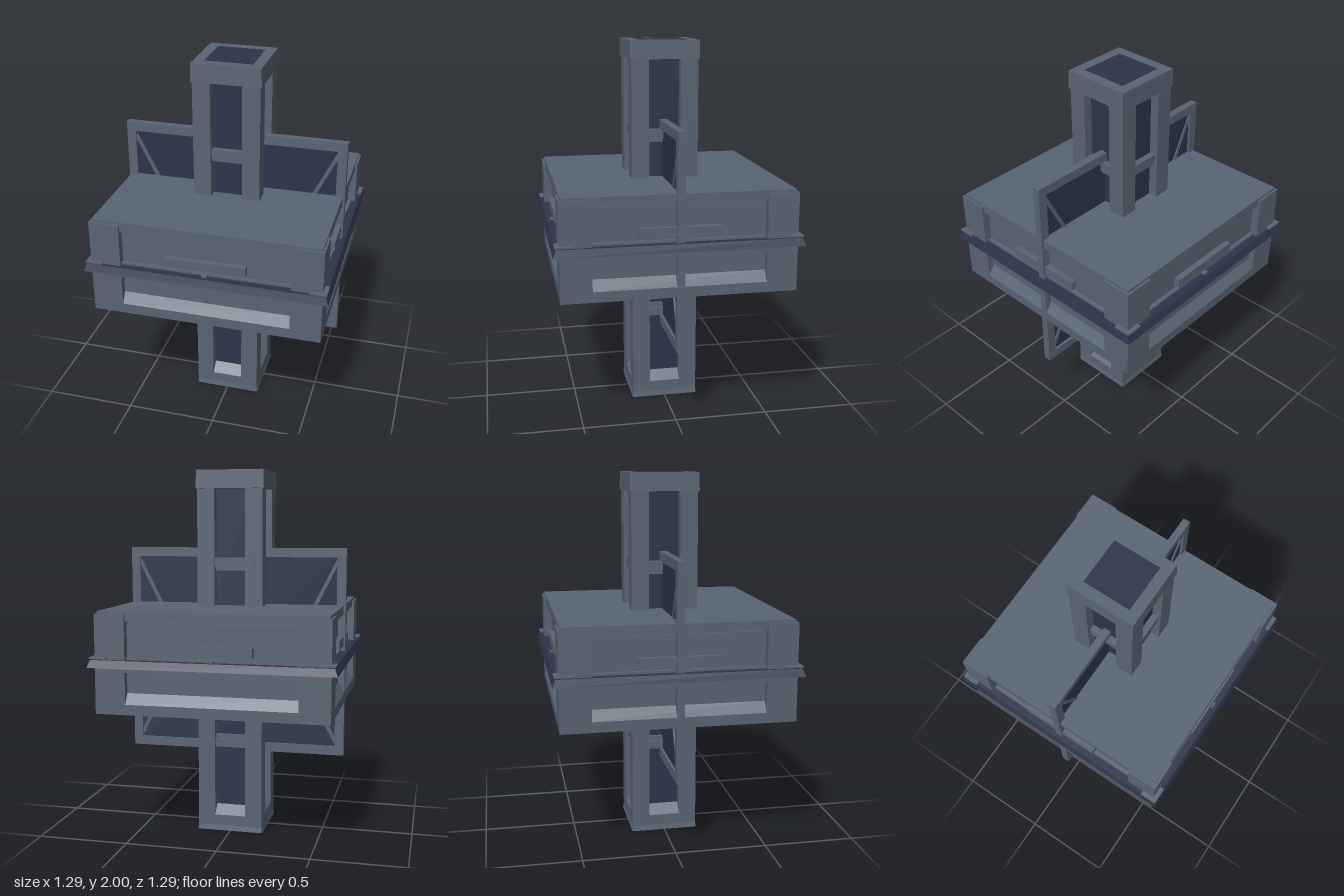
import * as THREE from 'three';

const grey = new THREE.MeshStandardMaterial({ color: 0x586573 });
grey.name = 'slate grey';
const navy = new THREE.MeshStandardMaterial({ color: 0x2c3449 });
navy.name = 'dark navy';

// Box given by its lower and upper limits on each axis
function box(parent, name, mat, [x0, x1], [y0, y1], [z0, z1]) {
  const mesh = new THREE.Mesh(new THREE.BoxGeometry(x1 - x0, y1 - y0, z1 - z0), mat);
  mesh.position.set((x0 + x1) / 2, (y0 + y1) / 2, (z0 + z1) / 2);
  mesh.name = name;
  parent.add(mesh);
  return mesh;
}

// Bar along x whose cross-section is a list of [z, y] points
function profileBar(parent, name, mat, points, length) {
  const shape = new THREE.Shape(points.map(([z, y]) => new THREE.Vector2(z, y)));
  const geo = new THREE.ExtrudeGeometry(shape, { depth: length, bevelEnabled: false });
  geo.translate(0, 0, -length / 2).rotateY(-Math.PI / 2);
  const mesh = new THREE.Mesh(geo, mat);
  mesh.name = name;
  parent.add(mesh);
}

// Square block with different half-widths at bottom and top
function frustum(parent, name, mat, bottom, top, y0, y1) {
  const geo = new THREE.CylinderGeometry(top * Math.SQRT2, bottom * Math.SQRT2, y1 - y0, 4, 1).toNonIndexed();
  geo.rotateY(Math.PI / 4).translate(0, (y0 + y1) / 2, 0);
  geo.computeVertexNormals();
  const mesh = new THREE.Mesh(geo, mat);
  mesh.name = name;
  parent.add(mesh);
}

// Calls build once for each of the four sides
function fourSides(parent, name, build) {
  for (let i = 0; i < 4; i++) {
    const side = new THREE.Group();
    side.name = name;
    side.rotation.y = i * Math.PI / 2;
    build(side);
    parent.add(side);
  }
}

function buildTower() {
  const tower = new THREE.Group();
  tower.name = 'tower';
  box(tower, 'upperCore', navy, [-0.13, 0.13], [1.23, 1.91], [-0.13, 0.13]);
  box(tower, 'lowerCore', navy, [-0.13, 0.13], [0.002, 0.74], [-0.13, 0.13]);
  frustum(tower, 'cap', grey, 0.187, 0.184, 1.9, 1.998);
  box(tower, 'topPanel', navy, [-0.127, 0.127], [1.996, 2], [-0.127, 0.127]);
  box(tower, 'bottomPanel', navy, [-0.122, 0.122], [0, 0.004], [-0.122, 0.122]);
  fourSides(tower, 'towerSide', (side) => {
    box(side, 'upperPost', grey, [0.085, 0.18], [1.23, 1.91], [0.085, 0.18]);
    box(side, 'lowerPost', grey, [0.085, 0.18], [0.002, 0.74], [0.085, 0.18]);
    // sloped sill at the foot of the recess
    profileBar(side, 'footSill', grey,
      [[0.12, 0.002], [0.18, 0.002], [0.18, 0.09], [0.13, 0.14], [0.12, 0.14]], 0.172);
    // stepped crossbars
    box(side, 'upperCrossbar', grey, [-0.085, 0.085], [1.48, 1.53], [0.12, 0.165]);
    box(side, 'upperCrossbarStep', grey, [-0.085, 0.085], [1.46, 1.505], [0.12, 0.15]);
    box(side, 'lowerCrossbar', grey, [-0.085, 0.085], [0.48, 0.525], [0.12, 0.165]);
    box(side, 'lowerCrossbarStep', grey, [-0.085, 0.085], [0.5, 0.548], [0.12, 0.15]);
  });
  // flared base edge
  fourSides(tower, 'baseEdge', (side) =>
    profileBar(side, 'baseLip', grey, [[0.14, 0.002], [0.185, 0.002], [0.18, 0.03], [0.14, 0.03]], 0.36));
  return tower;
}

function buildBody() {
  const body = new THREE.Group();
  body.name = 'body';
  box(body, 'lid', grey, [-0.6, 0.6], [1.22, 1.27], [-0.6, 0.6]);
  box(body, 'upperBlock', grey, [-0.57, 0.57], [1.01, 1.211], [-0.57, 0.57]);
  box(body, 'lowerBlock', grey, [-0.575, 0.575], [0.737, 0.99], [-0.575, 0.575]);
  frustum(body, 'middleRing', navy, 0.645, 0.63, 0.98, 1.02);
  fourSides(body, 'bodySide', (side) => {
    box(side, 'upperCornerPost', grey, [0.45, 0.612], [1.015, 1.256], [0.45, 0.612]);
    box(side, 'lowerCornerPost', grey, [0.45, 0.612], [0.735, 0.985], [0.45, 0.612]);
    box(side, 'upperSill', grey, [-0.45, 0.45], [1.015, 1.032], [0.56, 0.59]);
    box(side, 'handle', grey, [-0.215, 0.215], [1.05, 1.1], [0.56, 0.602]);
    box(side, 'latch', grey, [-0.015, 0.015], [1.015, 1.03], [0.59, 0.612]);
    box(side, 'lowerRail', grey, [-0.45, 0.45], [0.955, 0.985], [0.55, 0.61]);
    // sloped lower edge of the recess
    profileBar(side, 'lowerSill', grey,
      [[0.5, 0.735], [0.612, 0.735], [0.612, 0.79], [0.575, 0.845], [0.5, 0.845]], 0.9);
    // thin corner bracket above the ring
    box(side, 'bracketFront', grey, [0.545, 0.635], [1.026, 1.034], [0.6, 0.635]);
    box(side, 'bracketSide', grey, [0.6, 0.635], [1.026, 1.034], [0.545, 0.6]);
  });
  box(body, 'underside', grey, [-0.46, 0.46], [0.735, 0.745], [-0.46, 0.46]);
  return body;
}

function buildFin() {
  const fin = new THREE.Group();
  fin.name = 'fin';
  const depth = [-0.02, 0.02];
  box(fin, 'finPanel', navy, [-0.57, 0.57], [0.47, 1.54], [-0.006, 0.006]);
  box(fin, 'topBar', grey, [-0.612, 0.612], [1.53, 1.58], depth);
  box(fin, 'bottomBar', grey, [-0.612, 0.612], [0.43, 0.48], depth);
  for (const s of [-1, 1]) {
    box(fin, 'sideBar', grey, s > 0 ? [0.562, 0.612] : [-0.612, -0.562], [0.48, 1.53], depth);
    // diagonal braces, mirrored above and below
    for (const v of [-1, 1]) {
      const from = new THREE.Vector2(s * 0.565, 1.005 + v * 0.505);
      const to = new THREE.Vector2(s * 0.42, 1.005 + v * 0.215);
      const brace = new THREE.Mesh(new THREE.BoxGeometry(from.distanceTo(to), 0.02, 0.026), grey);
      brace.position.set((from.x + to.x) / 2, (from.y + to.y) / 2, 0);
      brace.rotation.z = Math.atan2(to.y - from.y, to.x - from.x);
      brace.name = 'brace';
      fin.add(brace);
    }
  }
  return fin;
}

export function createModel() {
  const model = new THREE.Group();
  model.name = 'model';
  model.add(buildTower(), buildBody(), buildFin());
  return model;
}
